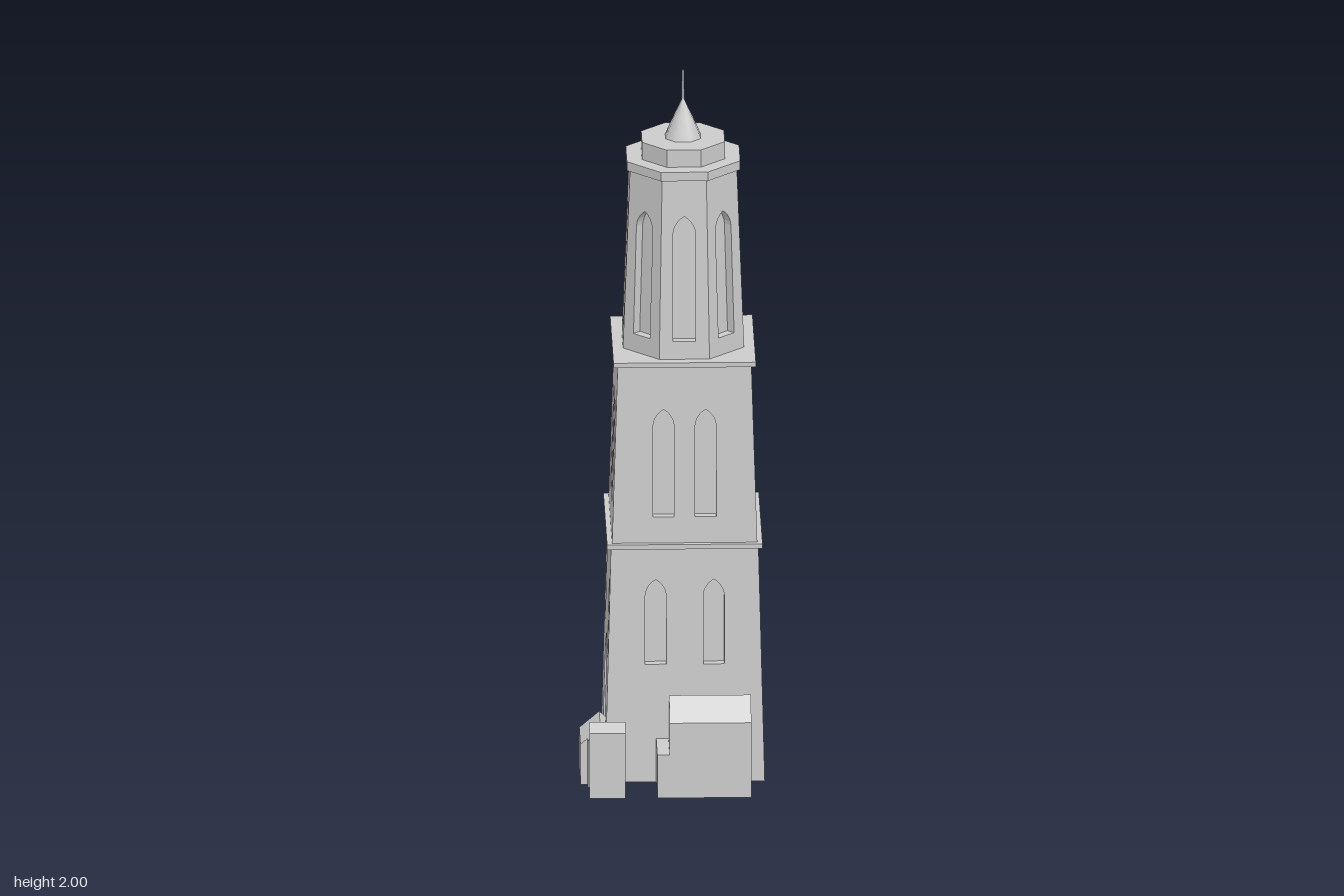
import * as THREE from 'three';

const flat = new THREE.MeshStandardMaterial({ color: 0xcccccc, flatShading: true });
const smooth = new THREE.MeshStandardMaterial({ color: 0xcccccc });
const T = 0.025; // depth of the window and portal recesses

function add(parent, name, geometry, material = flat) {
  const mesh = new THREE.Mesh(geometry, material);
  mesh.name = name;
  parent.add(mesh);
  return mesh;
}

// Pointed arch from (x-w, y0) up to (x, y1) and down to (x+w, y0)
function archTo(path, x, w, y0, y1) {
  const spring = y1 - 1.6 * w;
  path.lineTo(x - w, y0);
  path.lineTo(x - w, spring);
  path.quadraticCurveTo(x - w * 0.9, y1 - 0.55 * w, x, y1);
  path.quadraticCurveTo(x + w * 0.9, y1 - 0.55 * w, x + w, spring);
  path.lineTo(x + w, y0);
}

// Tapered wall outline, optionally with an arched opening at the foot
function wallShape(b0, b1, y0, y1, door) {
  const s = new THREE.Shape();
  s.moveTo(-b0, y0);
  if (door) archTo(s, 0, door.w, y0, door.h);
  s.lineTo(b0, y0);
  s.lineTo(b1, y1);
  s.lineTo(-b1, y1);
  s.closePath();
  return s;
}

// Wall slab leaning with the taper, mitred to its neighbours
function wall(n, a0, a1, y0, y1, windows, door) {
  const k = Math.tan(Math.PI / n);
  const shape = wallShape(a0 * k, a1 * k, y0, y1, door);
  for (const [x, w, b, t] of windows) {
    const hole = new THREE.Path();
    hole.moveTo(x - w, b);
    archTo(hole, x, w, b, t);
    hole.closePath();
    shape.holes.push(hole);
  }
  const g = new THREE.ExtrudeGeometry(shape, { depth: T, bevelEnabled: false, curveSegments: 5 });
  const p = g.attributes.position;
  for (let i = 0; i < p.count; i++) {
    const x = p.getX(i), y = p.getY(i);
    const a = a0 + (a1 - a0) * (y - y0) / (y1 - y0);
    const z = a - T + p.getZ(i);
    if (Math.abs(x) > a * k - 1e-4) p.setX(i, Math.sign(x) * z * k);
    p.setZ(i, z);
  }
  g.computeVertexNormals();
  return g;
}

// Regular prism or frustum given by the distance from axis to flat side
function prism(n, a0, a1, y0, y1) {
  const c = Math.cos(Math.PI / n);
  return new THREE.CylinderGeometry(a1 / c, a0 / c, y1 - y0, n)
    .rotateY(Math.PI / n).translate(0, (y0 + y1) / 2, 0);
}

// Core of the lowest stage, with a passage running through along x
function passageCore(a0, a1, y1, door) {
  const g = new THREE.ExtrudeGeometry(wallShape(a0, a1, 0, y1, door),
    { depth: 1, bevelEnabled: false, curveSegments: 5 });
  const p = g.attributes.position;
  for (let i = 0; i < p.count; i++) {
    const a = a0 + (a1 - a0) * p.getY(i) / y1;
    p.setZ(i, p.getZ(i) > 0.5 ? a : -a);
  }
  g.computeVertexNormals();
  return g.rotateY(Math.PI / 2);
}

// Extrude a closed outline of [x, y] points along z from z0 to z1
function block(points, z0, z1) {
  const s = new THREE.Shape(points.map(([x, y]) => new THREE.Vector2(x, y)));
  return new THREE.ExtrudeGeometry(s, { depth: z1 - z0, bevelEnabled: false }).translate(0, 0, z0);
}

// House with its ridge along x, centred on its own origin
function house(length, depth, eaves, ridge) {
  const d = depth / 2;
  return block([[-d, 0], [d, 0], [d, eaves], [0, ridge], [-d, eaves]], -length / 2, length / 2)
    .rotateY(Math.PI / 2);
}

export function createModel() {
  const model = new THREE.Group();
  model.name = 'churchTower';
  const tower = new THREE.Group();
  tower.name = 'tower';
  tower.position.set(0.033, 0, -0.069);
  model.add(tower);

  // Square lower and middle stages
  const pair = (x, b, t) => [[-x, 0.029, b, t], [x, 0.029, b, t]];
  for (let i = 0; i < 4; i++) {
    const side = i % 2 === 1;
    add(tower, 'lowerWall', wall(4, 0.22, 0.203, 0, 0.68, pair(side ? 0.148 : 0.08, 0.34, 0.585),
      side ? { w: 0.069, h: 0.36 } : null)).rotation.y = i * Math.PI / 2;
    add(tower, 'middleWall', wall(4, 0.2, 0.184, 0.685, 1.205, pair(0.058, 0.765, 1.075)))
      .rotation.y = i * Math.PI / 2;
  }
  add(tower, 'lowerCore', passageCore(0.22 - T, 0.203 - T, 0.68, { w: 0.04, h: 0.235 }));
  add(tower, 'middleCore', prism(4, 0.2 - T, 0.184 - T, 0.685, 1.205));
  add(tower, 'lowerLedge', prism(4, 0.214, 0.214, 0.676, 0.69));
  add(tower, 'upperLedge', prism(4, 0.196, 0.196, 1.2, 1.214));

  // Octagonal lantern
  for (let i = 0; i < 8; i++) {
    add(tower, 'lanternWall', wall(8, 0.167, 0.147, 1.21, 1.735, [[0, 0.031, 1.265, 1.625]]))
      .rotation.y = i * Math.PI / 4;
  }
  add(tower, 'lanternCore', prism(8, 0.167 - T, 0.147 - T, 1.21, 1.735));
  add(tower, 'lanternCornice', prism(8, 0.156, 0.156, 1.73, 1.756));
  add(tower, 'roofDrum', prism(8, 0.114, 0.114, 1.756, 1.806));

  // Pointed cap and needle
  const cap = [[0.053, 1.805], [0.044, 1.828], [0.026, 1.868], [0.005, 1.912], [0.0035, 1.92]];
  add(tower, 'spireCap', new THREE.LatheGeometry(
    cap.map(([r, y]) => new THREE.Vector2(r, y)), 8, Math.PI / 8), smooth);
  add(tower, 'spireNeedle', new THREE.CylinderGeometry(0.003, 0.004, 0.1, 8).translate(0, 1.95, 0), smooth);

  // House against the front, with a flat-roofed annex
  add(model, 'frontHouse', house(0.225, 0.14, 0.218, 0.275)).position.set(0.1005, 0, 0.216);
  add(model, 'frontAnnex', block([[-0.046, 0], [-0.01, 0], [-0.01, 0.125], [-0.046, 0.125]], 0.14, 0.284));

  // Small houses at the corner
  const cottage = add(model, 'cornerHouse', house(0.099, 0.096, 0.19, 0.207));
  cottage.position.set(-0.182, 0, 0.238);
  cottage.rotation.y = -0.03;
  add(model, 'sideHouse',
    block([[-0.255, 0], [-0.149, 0], [-0.149, 0.118], [-0.2, 0.165], [-0.255, 0.118]], 0.03, 0.17));
  add(model, 'sideHouseLink',
    block([[-0.235, 0], [-0.149, 0], [-0.149, 0.118], [-0.2, 0.165], [-0.235, 0.135]], 0.17, 0.193));
  return model;
}
